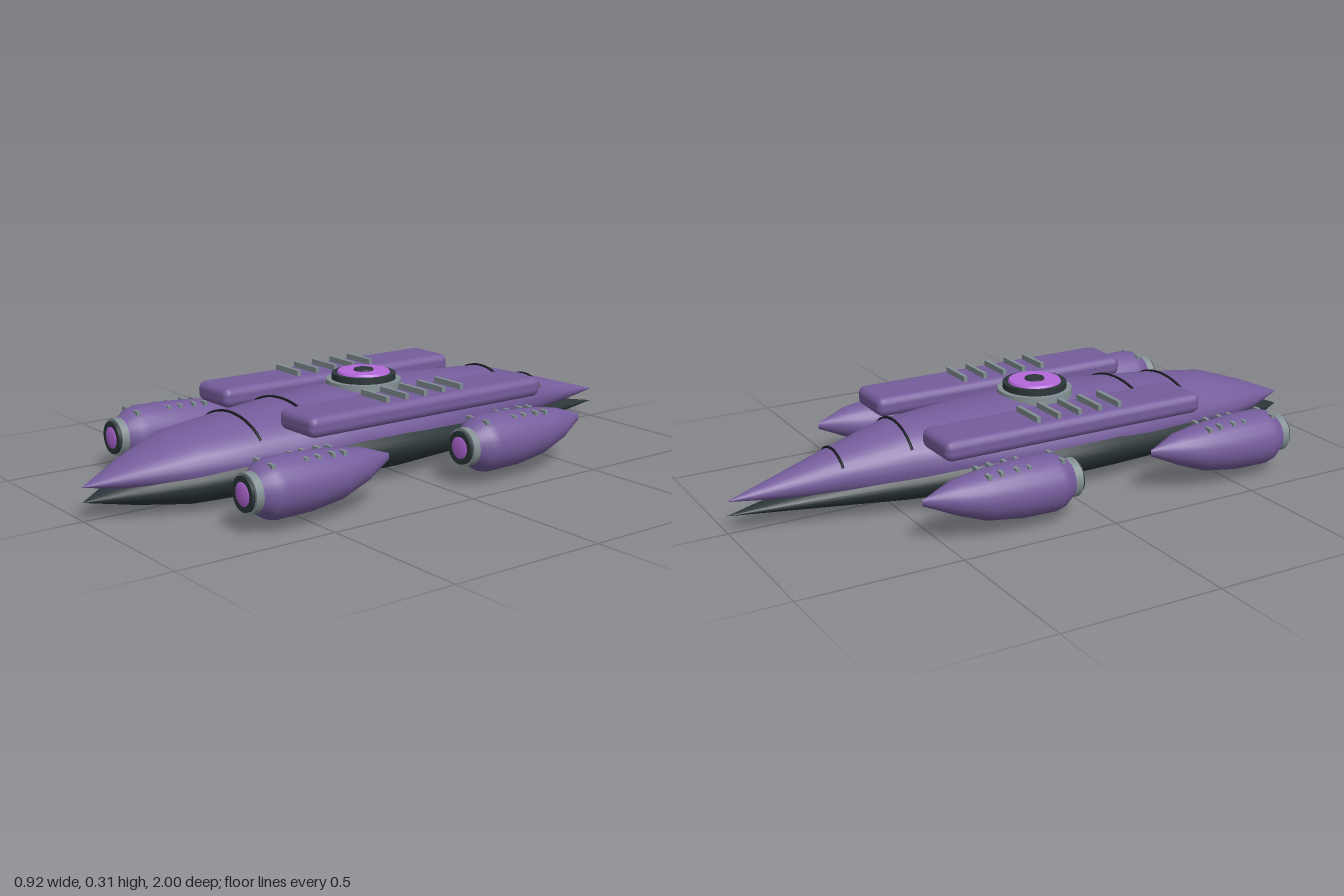
import * as THREE from 'three';
import { RoundedBoxGeometry } from 'three/addons/geometries/RoundedBoxGeometry.js';

const material = (name, color, side = THREE.FrontSide) => {
  const m = new THREE.MeshStandardMaterial({ color, side });
  m.name = name;
  return m;
};

// Elliptical sections [z, radiusX, radiusY, centreY], listed from back to front
const UPPER = [[-1, 0, 0, 0.1], [-0.67, 0.092, 0.07, 0.128], [-0.47, 0.145, 0.112, 0.14], [-0.2, 0.2, 0.126, 0.14],
  [0, 0.22, 0.13, 0.14], [0.2, 0.215, 0.125, 0.14], [0.33, 0.205, 0.117, 0.138], [0.51, 0.181, 0.106, 0.133],
  [0.7, 0.155, 0.086, 0.129], [0.85, 0.09, 0.046, 0.117], [1, 0, 0, 0.1]];
const LOWER = [[-1, 0, 0, 0.056], [-0.47, 0.152, 0.07, 0.085], [-0.2, 0.215, 0.093, 0.1], [0, 0.238, 0.104, 0.105],
  [0.2, 0.232, 0.104, 0.105], [0.51, 0.195, 0.092, 0.093], [0.7, 0.163, 0.08, 0.085], [0.85, 0.094, 0.044, 0.071],
  [1, 0, 0, 0.056]];
const POD = [[-0.5, 0, 0.01, 0.02], [-0.4, 0.057, 0.05, 0.014], [-0.31, 0.077, 0.074, 0.004], [-0.2, 0.087, 0.086, 0],
  [-0.09, 0.088, 0.088, 0], [-0.065, 0.082, 0.082, 0], [-0.03, 0.058, 0.058, 0]];

function loft(sections, sides = 28) {
  const pos = [], idx = [];
  sections.forEach(([z, rx, ry, cy], i) => {
    for (let j = 0; j < sides; j++) {
      const a = (j / sides) * Math.PI * 2;
      pos.push(rx * Math.cos(a), cy + ry * Math.sin(a), z);
      if (i === sections.length - 1) continue;
      const k = (j + 1) % sides, p = i * sides, q = p + sides;
      idx.push(p + j, p + k, q + k, p + j, q + k, q + j);
    }
  });
  const g = new THREE.BufferGeometry();
  g.setAttribute('position', new THREE.Float32BufferAttribute(pos, 3));
  g.setIndex(idx);
  g.computeVertexNormals();
  return g;
}

export function createModel() {
  const model = new THREE.Group();
  model.name = 'spaceship';
  const purple = material('purple hull', 0x755d9c);
  const dark = material('dark plating', 0x2c3639);
  const grey = material('grey metal', 0x818e92);
  const glow = material('violet glow', 0xb468da);
  const seam = material('black seam', 0x1b1d22);

  const add = (parent, name, geometry, mat, x = 0, y = 0, z = 0) => {
    const mesh = new THREE.Mesh(geometry, mat);
    mesh.name = name;
    mesh.position.set(x, y, z);
    parent.add(mesh);
    return mesh;
  };

  // Two overlapping pointed shells
  add(model, 'upperHull', loft(UPPER), purple);
  add(model, 'lowerHull', loft(LOWER), dark);

  // Panel seams arching over the upper hull
  for (const z of [-0.67, -0.47, 0.33, 0.51]) {
    const [, rx, ry, cy] = UPPER.find((s) => s[0] === z);
    const points = [];
    for (let i = 0; i <= 14; i++) {
      const a = Math.PI * (1 / 6 + (i / 14) * (2 / 3));
      points.push(new THREE.Vector3(rx * 1.01 * Math.cos(a), cy + ry * 1.01 * Math.sin(a), z));
    }
    add(model, 'hullSeam', new THREE.TubeGeometry(new THREE.CatmullRomCurve3(points), 28, 0.0045, 6), seam);
  }

  // Stacked dome on the back
  const dome = new THREE.Group();
  dome.name = 'topDome';
  dome.position.z = 0.02;
  model.add(dome);
  const disc = (name, r0, r1, y0, y1, mat) =>
    add(dome, name, new THREE.CylinderGeometry(r1, r0, y1 - y0, 32), mat, 0, (y0 + y1) / 2, 0);
  disc('domeBase', 0.12, 0.117, 0.25, 0.277, grey);
  disc('domeCollar', 0.1, 0.1, 0.27, 0.296, dark);
  disc('domeGlow', 0.087, 0.08, 0.29, 0.303, glow);
  disc('domeCap', 0.032, 0.03, 0.3, 0.308, dark);

  for (const side of [-1, 1]) {
    // Long side slab with grey cross bars
    add(model, 'sideSlab', new RoundedBoxGeometry(0.172, 0.063, 0.89, 2, 0.024), purple, side * 0.226, 0.24, -0.005);
    for (let i = 0; i < 5; i++) {
      add(model, 'slabBar', new THREE.BoxGeometry(0.122, 0.024, 0.013), grey, side * 0.227, 0.277, -0.135 + i * 0.071);
    }

    // Front and rear engine pods
    for (const z of [0.71, -0.06]) {
      const pod = new THREE.Group();
      pod.name = z > 0 ? 'frontPod' : 'rearPod';
      pod.position.set(side * 0.37, 0.117, z);
      model.add(pod);
      add(pod, 'podBody', loft(POD, 24), purple);
      const ring = (name, r, z0, z1, mat) => {
        const g = new THREE.CylinderGeometry(r, r, z1 - z0, 24).rotateX(Math.PI / 2);
        add(pod, name, g, mat, 0, 0, (z0 + z1) / 2);
      };
      ring('podRing', 0.059, -0.035, -0.007, grey);
      ring('podNozzle', 0.051, -0.02, 0.002, dark);
      const lens = new THREE.SphereGeometry(0.036, 16, 6, 0, Math.PI * 2, 0, Math.PI / 2).rotateX(Math.PI / 2);
      add(pod, 'podLens', lens, glow).scale.z = 0.2;

      // Small studs in two rows along the top
      for (const x of [-0.035, 0.035]) {
        for (const dz of [-0.31, -0.27, -0.22, -0.18, -0.07]) {
          add(pod, 'podStud', new THREE.BoxGeometry(0.024, 0.014, 0.012), grey, x, dz < -0.3 ? 0.071 : 0.074, dz);
        }
      }
    }
  }
  return model;
}
